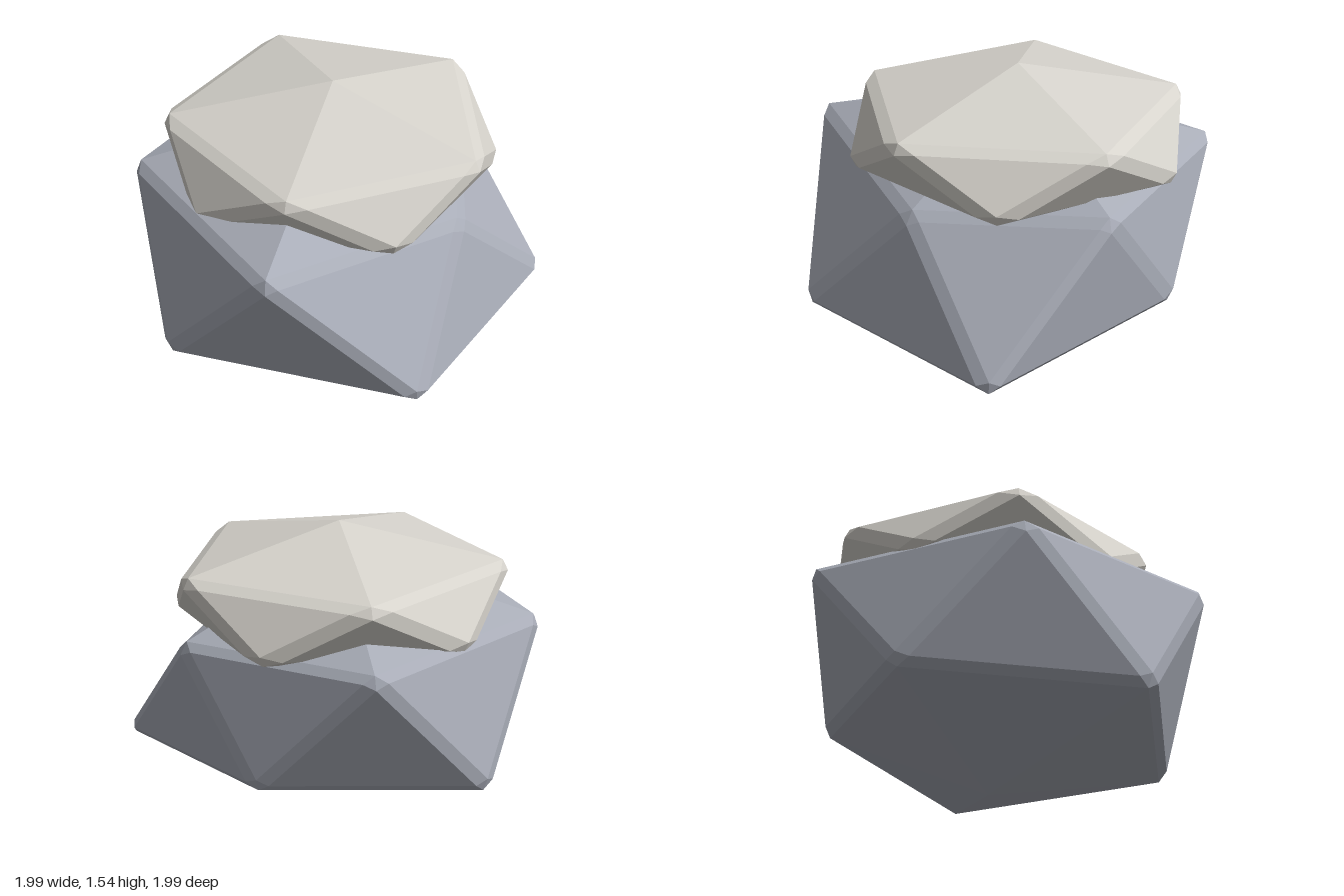
import * as THREE from 'three';
import { ConvexGeometry } from 'three/addons/geometries/ConvexGeometry.js';

const v = (x, y, z) => new THREE.Vector3(x, y, z);

// Icosahedral boulder: a zigzag ring of ten corners (upper, lower, upper...) between two poles.
// Ring corners are bevelled by pulling a copy into each neighbouring face; the poles stay sharp.
function boulder(ring, top, bottom, bevel, poleBevel) {
  const points = [top, bottom];
  const at = (i) => ring[(i + 10) % 10];
  ring.forEach((corner, i) => {
    points.push(corner.clone().lerp(i % 2 ? bottom : top, poleBevel));
    for (const [a, b] of [[-1, 1], [1, 2], [-1, -2]]) {
      const middle = at(i + a).clone().add(at(i + b)).multiplyScalar(0.5);
      points.push(corner.clone().lerp(middle, bevel));
    }
  });
  return new ConvexGeometry(points);
}

export function createModel() {
  const model = new THREE.Group();
  model.name = 'cappedBoulder';
  const stone = new THREE.MeshStandardMaterial({ name: 'blueGreyStone', color: 0xa9adb8, flatShading: true });
  const pale = new THREE.MeshStandardMaterial({ name: 'paleCap', color: 0xd6d3cc, flatShading: true });

  // Large irregular base rock, corners listed from +x round through the front
  const rockRing = [
    v(0.83, 0.96, -0.13), v(1.0, 0.29, 0.52),
    v(0.39, 1.1, 1.02), v(-0.31, 0.3, 0.94),
    v(-0.83, 1.06, 0.49), v(-1.01, 0.34, -0.13),
    v(-0.82, 1.07, -0.77), v(-0.22, 0.39, -1.005),
    v(0.3, 1.02, -1.005), v(1.0, 0.29, -0.83),
  ];
  const rock = new THREE.Mesh(boulder(rockRing, v(0.03, 1.4, -0.13), v(0.03, 0, -0.13), 0.08, 0.04), stone);
  rock.name = 'baseRock';

  // Flattened regular cap sitting on the rock
  const capRing = Array.from({ length: 10 }, (_, i) => {
    const a = (i * Math.PI) / 5;
    return v(0.03 + 0.905 * Math.cos(a), i % 2 ? 1.045 : 1.35, -0.13 + 0.905 * Math.sin(a));
  });
  const cap = new THREE.Mesh(boulder(capRing, v(0.03, 1.54, -0.13), v(0.03, 0.84, -0.13), 0.15, 0.06), pale);
  cap.name = 'topCap';

  model.add(rock, cap);
  return model;
}
